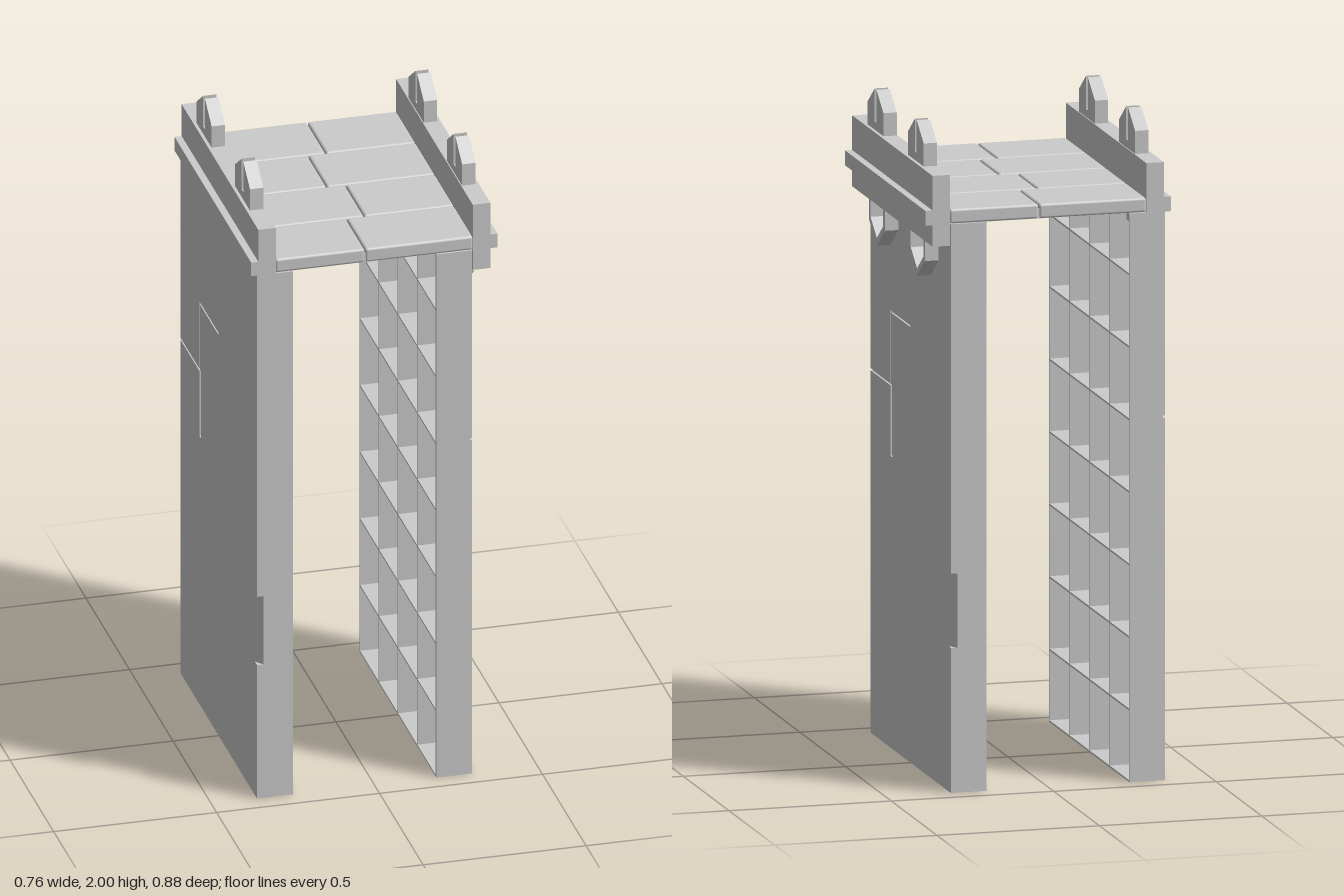
import * as THREE from 'three';
import { RoundedBoxGeometry } from 'three/addons/geometries/RoundedBoxGeometry.js';

const material = new THREE.MeshStandardMaterial({ color: 0xcccccc, flatShading: true });
const smooth = new THREE.MeshStandardMaterial({ color: 0xcccccc });

function add(parent, name, geometry, x = 0, y = 0, z = 0, mat = material) {
  const mesh = new THREE.Mesh(geometry, mat);
  mesh.name = name;
  mesh.position.set(x, y, z);
  parent.add(mesh);
  return mesh;
}

// Box given by its limits on each axis
function addBox(parent, name, [x0, x1], [y0, y1], [z0, z1]) {
  return add(parent, name, new THREE.BoxGeometry(x1 - x0, y1 - y0, z1 - z0),
    (x0 + x1) / 2, (y0 + y1) / 2, (z0 + z1) / 2);
}

const outline = (points) => points.map(([a, b]) => new THREE.Vector2(a, b));

// Plate drawn in (-z, y) and extruded along x from x0 to x1
function addPlate(parent, name, points, x0, x1, z = 0, hole = null) {
  const shape = new THREE.Shape(outline(points));
  if (hole) shape.holes.push(new THREE.Path(outline(hole)));
  const geometry = new THREE.ExtrudeGeometry(shape, { depth: x1 - x0, bevelEnabled: false });
  geometry.rotateY(Math.PI / 2);
  return add(parent, name, geometry, x0, 0, z);
}

const HALF = 0.44, CELL = 0.22, TOP = 1.725, RIB = 0.006;

// Wall: outer skin with cracks and a chamfered grip, egg-crate ribs inside
function buildWall() {
  const wall = new THREE.Group();
  const right = [[-HALF, 0], [HALF, 0], [HALF, 0.44], [0.415, 0.44], [0.415, 0.665],
    [HALF, 0.665], [HALF, TOP], [-HALF, TOP]];
  const crack = [[-HALF, 1.106], [-0.222, 1.106], [-0.222, 1.328], [0, 1.328], [0, 1.321],
    [-0.214, 1.321], [-0.214, 1.106], [-0.2, 1.106], [-0.2, 0.885], [-0.222, 0.885],
    [-0.222, 1.099], [-HALF, 1.099]];
  addPlate(wall, 'wallSkin', right, 0.28, 0.294);
  addPlate(wall, 'crackedFacing', [...right, ...crack], 0.294, 0.3);

  // Sloped filler that turns the edge notch into a chamfer
  const wedge = new THREE.Shape(outline([[0.28, 0.415], [0.3, 0.415], [0.28, HALF]]));
  const wedgeGeometry = new THREE.ExtrudeGeometry(wedge, { depth: 0.225, bevelEnabled: false });
  wedgeGeometry.rotateX(-Math.PI / 2);
  add(wall, 'edgeChamfer', wedgeGeometry, 0, 0.44, 0);

  for (let i = 0; i <= 4; i++) {
    const z = THREE.MathUtils.clamp(-HALF + i * CELL, -HALF + RIB / 2, HALF - RIB / 2);
    addBox(wall, 'uprightRib', [0.19, 0.28], [0, TOP], [z - RIB / 2, z + RIB / 2]);
  }
  for (let i = 0; i <= 8; i++) {
    const y = THREE.MathUtils.clamp(i * CELL, RIB / 2, TOP - RIB / 2);
    addBox(wall, 'shelfRib', [0.19, 0.28], [y - RIB / 2, y + RIB / 2], [-HALF, HALF]);
  }
  return wall;
}

// Parapet with a string course and two split, pointed merlons
function buildParapet() {
  const parapet = new THREE.Group();
  addBox(parapet, 'parapetWall', [0.302, 0.356], [1.66, 1.875], [-HALF, HALF]);
  addBox(parapet, 'stringCourse', [0.302, 0.378], [1.725, 1.77], [-HALF, HALF]);
  const merlon = [[-0.087, 1.87], [0.087, 1.87], [0.087, 1.945], [0.01, 2], [0.01, 1.9],
    [-0.01, 1.9], [-0.01, 2], [-0.087, 1.945]];
  for (const z of [-CELL, CELL]) addPlate(parapet, 'merlon', merlon, 0.305, 0.346, z);
  return parapet;
}

// Pointed frames hanging below the parapet
function buildPendants() {
  const pendants = new THREE.Group();
  const frame = [[-0.087, 1.66], [-0.087, 1.588], [0, 1.525], [0.087, 1.588], [0.087, 1.66]];
  const hole = [[-0.069, 1.655], [-0.069, 1.598], [0, 1.548], [0.069, 1.598], [0.069, 1.655]];
  for (const z of [-CELL, CELL]) addPlate(pendants, 'pendantFrame', frame, 0.298, 0.342, z, hole);
  return pendants;
}

// Walkway of rounded slabs in staggered rows
function buildWalkway() {
  const walkway = new THREE.Group();
  const gap = 0.002;
  for (let row = 0; row < 4; row++) {
    const joint = row % 2 ? -0.028 : 0.028;
    const z = -HALF + (row + 0.5) * CELL;
    for (const [x0, x1] of [[-0.304, joint], [joint, 0.304]]) {
      const slab = new RoundedBoxGeometry(x1 - x0 - gap, 0.045, CELL - gap, 2, 0.008);
      add(walkway, 'slab', slab, (x0 + x1) / 2, 1.7475, z, smooth);
    }
  }
  addBox(walkway, 'slabBed', [-0.303, 0.303], [1.726, 1.755], [-HALF + 0.004, HALF - 0.004]);
  return walkway;
}

export function createModel() {
  const model = new THREE.Group();
  model.name = 'battlementGate';

  // Each side is the other turned half round; the right wall stands further out
  for (const side of ['left', 'right']) {
    const wall = buildWall();
    const parapet = buildParapet();
    wall.name = side + 'Wall';
    parapet.name = side + 'Parapet';
    if (side === 'right') {
      wall.rotation.y = parapet.rotation.y = Math.PI;
      wall.position.x = -0.06;
    }
    model.add(wall, parapet);
  }

  const pendants = buildPendants();
  pendants.name = 'pendants';
  const walkway = buildWalkway();
  walkway.name = 'walkway';
  model.add(pendants, walkway);
  return model;
}
